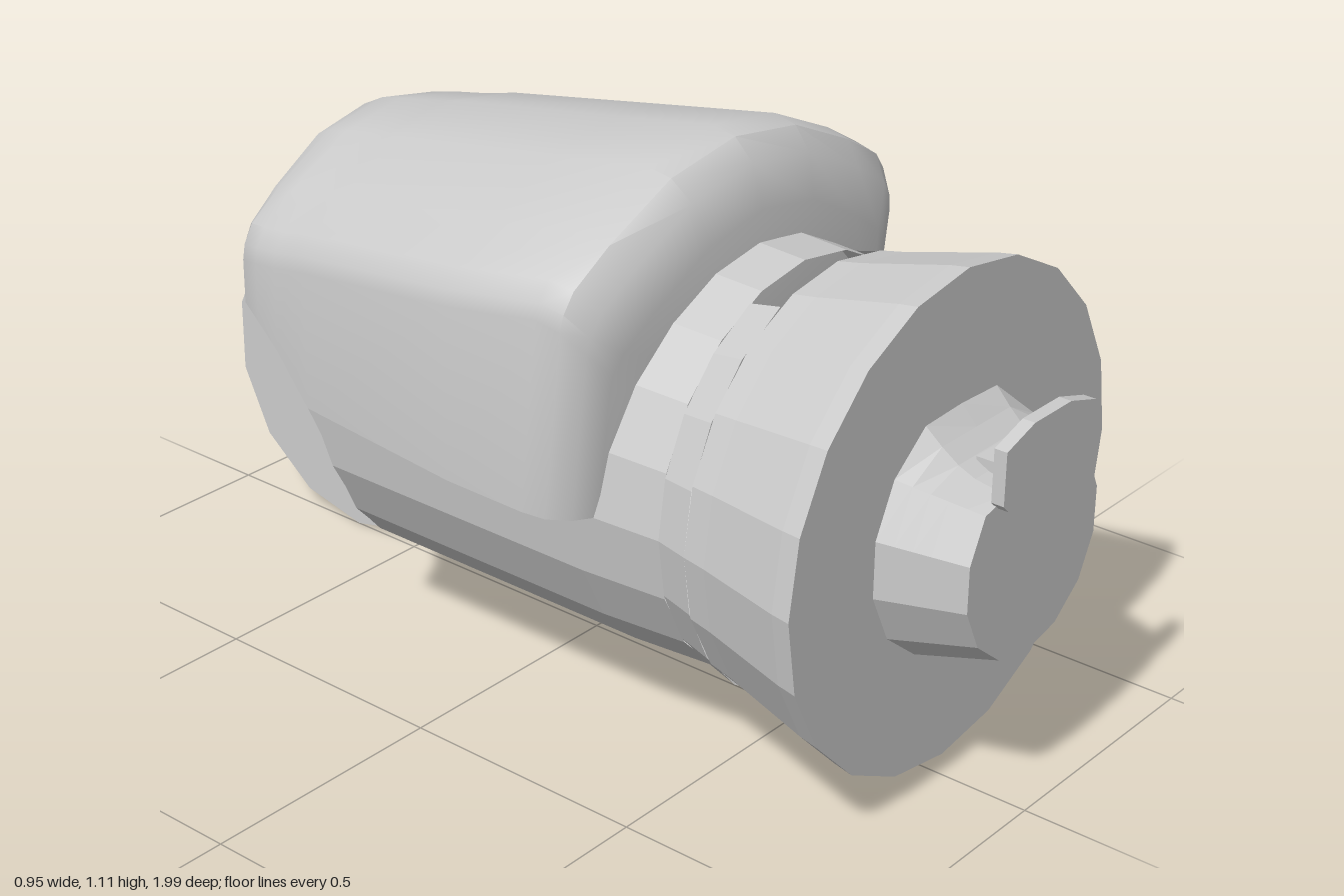
import * as THREE from 'three';
import { toCreasedNormals } from 'three/addons/utils/BufferGeometryUtils.js';

const AXIS_Y = 0.515;                       // height of the barrel axis
const DRUM = { y: 0.335, z: -0.66, r: 0.338 };
const flat = new THREE.MeshStandardMaterial({ color: 0xcccccc, flatShading: true, side: THREE.DoubleSide });
const smooth = new THREE.MeshStandardMaterial({ color: 0xcccccc, side: THREE.DoubleSide });

function part(parent, name, geometry, material = flat) {
  const mesh = new THREE.Mesh(geometry, material);
  mesh.name = name;
  parent.add(mesh);
  return mesh;
}

// Revolve [radius, z] pairs around the barrel axis; angle 0 points down
function turned(points, sides, start = 0, length = Math.PI * 2) {
  const profile = points.map(([r, z]) => new THREE.Vector2(r, z));
  return new THREE.LatheGeometry(profile, sides, start, length).rotateX(Math.PI / 2).translate(0, AXIS_Y, 0);
}

// Move every vertex by a rule
function reshape(geometry, rule) {
  const p = geometry.attributes.position, v = new THREE.Vector3();
  for (let i = 0; i < p.count; i++) {
    rule(v.fromBufferAttribute(p, i));
    p.setXYZ(i, v.x, v.y, v.z);
  }
  geometry.computeVertexNormals();
  return geometry;
}

// Rounded cover lofted from sections of [z, half width, top height]
function hoodGeometry() {
  const stations = [
    [-0.615, 0.27, 0.90], [-0.6, 0.335, 0.945], [-0.55, 0.382, 0.97], [-0.5, 0.397, 0.98],
    [-0.44, 0.407, 0.99], [-0.39, 0.413, 1.0], [-0.35, 0.42, 1.01], [0.05, 0.465, 1.073],
    [0.27, 0.468, 1.11], [0.32, 0.462, 1.1], [0.36, 0.435, 1.06], [0.385, 0.395, 0.98],
  ];
  const position = [], index = [];
  for (const [z, w, top] of stations) {
    const cut = DRUM.y + Math.sqrt(Math.max(0, 0.345 ** 2 - (z - DRUM.z) ** 2));
    const low = Math.max(AXIS_Y, cut);
    const half = [[w, low], [w, top - 0.22], [w * 0.985, top - 0.19], [w * 0.93, top - 0.155],
      [w * 0.73, top - 0.1], [w * 0.38, top - 0.027]];
    const ring = [...half, [0, top], ...half.map(([x, y]) => [-x, y]).reverse()];
    for (const [x, y] of ring) {
      const slant = z > 0.25 ? 0.04 * Math.max(0, 1 - (y - AXIS_Y) / 0.4) : 0;
      position.push(x, Math.max(y, low), z - slant);
    }
  }
  const n = 13, last = (stations.length - 1) * n;
  for (let i = 0; i < last; i += n) {
    for (let j = 0; j < n; j++) {
      const k = (j + 1) % n;
      index.push(i + j, i + k, i + n + j, i + k, i + n + k, i + n + j);
    }
  }
  for (let j = 1; j < n - 1; j++) index.push(0, j + 1, j, last, last + j, last + j + 1);
  const g = new THREE.BufferGeometry();
  g.setAttribute('position', new THREE.Float32BufferAttribute(position, 3));
  g.setIndex(index);
  return toCreasedNormals(g, 0.6);
}

function polygon(ShapeClass, radius, sides) {
  const pts = [];
  for (let i = 0; i < sides; i++) {
    const a = Math.PI / 2 + (i / sides) * Math.PI * 2;
    pts.push(new THREE.Vector2(Math.cos(a) * radius, Math.sin(a) * radius));
  }
  return new ShapeClass(pts);
}

// Barrel in three bands; the middle one leaves a slot at top and bottom
function addBarrel(group) {
  const end = [0, 0.1, 0.2, 0.28, 0.34, 0.38, 0.405].map((r) => [r, -0.52]);
  const rear = turned([...end, [0.405, 0.3], [0.395, 0.48]], 40);
  // Rear end hollowed to fit around the drum; every side is a 20-gon
  const step = Math.PI / 10;
  reshape(rear, (v) => {
    const dy = v.y - AXIS_Y, a = Math.atan2(dy, v.x);
    const local = a - step * (Math.floor(a / step) + 0.5);
    const k = Math.cos(step / 2) / Math.cos(local);
    v.x *= k;
    v.y = AXIS_Y + dy * k;
    if (v.z < -0.5) {
      const d = v.y - DRUM.y;
      v.z = Math.max(-0.52, DRUM.z + Math.sqrt(Math.max(0, DRUM.r ** 2 - d * d)));
    }
  });
  part(group, 'barrel', rear);
  const gap = THREE.MathUtils.degToRad(23);
  for (const side of [0, 1]) {
    part(group, 'slotBand', turned([[0.395, 0.48], [0.412, 0.55]], 8, gap + side * Math.PI, Math.PI - 2 * gap));
  }
  part(group, 'flange', turned([[0.412, 0.55], [0.422, 0.6], [0.468, 0.78], [0.475, 0.82], [0, 0.82]], 20));
}

// Tapered front neck with a scooped top and a latch tab
function addNeck(group) {
  const rings = [];
  for (let i = 0; i <= 5; i++) rings.push([0.245 - 0.009 * i, 0.82 + 0.032 * i]);
  const neck = turned([...rings, [0, 0.98]], 14);
  reshape(neck, (v) => {
    v.y = Math.min(v.y, 0.655 + 0.085 * (Math.max(0, 0.96 - v.z) / 0.14) ** 2);
  });
  part(group, 'neck', neck);

  const outline = [[-0.12, 0.64], [0.12, 0.64], [0.135, 0.655], [0.135, 0.755], [0.055, 0.78], [-0.055, 0.78], [-0.135, 0.755], [-0.135, 0.655]];
  const tab = new THREE.Shape(outline.map(([x, y]) => new THREE.Vector2(x, y)));
  part(group, 'latchTab', new THREE.ExtrudeGeometry(tab, { depth: 0.025, bevelEnabled: false }).translate(0, 0, 0.975));
  part(group, 'latchBlock', new THREE.BoxGeometry(0.11, 0.03, 0.05)).position.set(0, 0.668, 0.915);
}

// Sideways drum with a deep recess and a drilled bolt ring
function addDrum(group) {
  const drum = new THREE.Group();
  drum.name = 'drum';
  drum.position.set(0, DRUM.y, DRUM.z);
  group.add(drum);

  const profile = [[0, 0], [DRUM.r, 0], [DRUM.r, 0.27], [0.332, 0.295], [0.32, 0.308]];
  const recess = [[0.24, 0.308], [0.24, 0.1], [0, 0.1]];
  for (const [name, points] of [['drumShell', profile], ['drumRecess', recess]]) {
    const g = new THREE.LatheGeometry(points.map(([r, x]) => new THREE.Vector2(r, x)), 14);
    part(drum, name, g.rotateY(Math.PI / 2).rotateZ(-Math.PI / 2));
  }

  const ring = polygon(THREE.Shape, 0.32, 14);
  ring.holes.push(polygon(THREE.Path, 0.24, 14));
  const bolts = new THREE.Group();
  bolts.name = 'boltSeats';
  for (let i = 0; i < 12; i++) {
    if (i === 6) continue;
    const a = (i / 12) * Math.PI * 2 + Math.PI;
    const x = Math.cos(a) * 0.276, y = Math.sin(a) * 0.276;
    ring.holes.push(new THREE.Path().absarc(x, y, 0.024, 0, Math.PI * 2, true));
    const seat = part(bolts, 'boltSeat', new THREE.CircleGeometry(0.024, 10).rotateY(Math.PI / 2));
    seat.position.set(0.27, y, -x);
  }
  const ringGeometry = new THREE.ExtrudeGeometry(ring, { depth: 0.04, bevelEnabled: false, curveSegments: 5 });
  part(drum, 'boltRing', ringGeometry.rotateY(Math.PI / 2).translate(0.268, 0, 0));
  drum.add(bolts);

  // Small pill-shaped plug on the top of the drum
  const plug = part(drum, 'topPlug', new THREE.CapsuleGeometry(0.022, 0.07, 4, 10).rotateZ(Math.PI / 2));
  plug.scale.y = 0.3;
  plug.position.set(0.097, DRUM.r - 0.006, -0.01);
}

export function createModel() {
  const group = new THREE.Group();
  group.name = 'motorHousing';
  addBarrel(group);
  addNeck(group);
  part(group, 'hood', hoodGeometry(), smooth);
  addDrum(group);
  return group;
}
